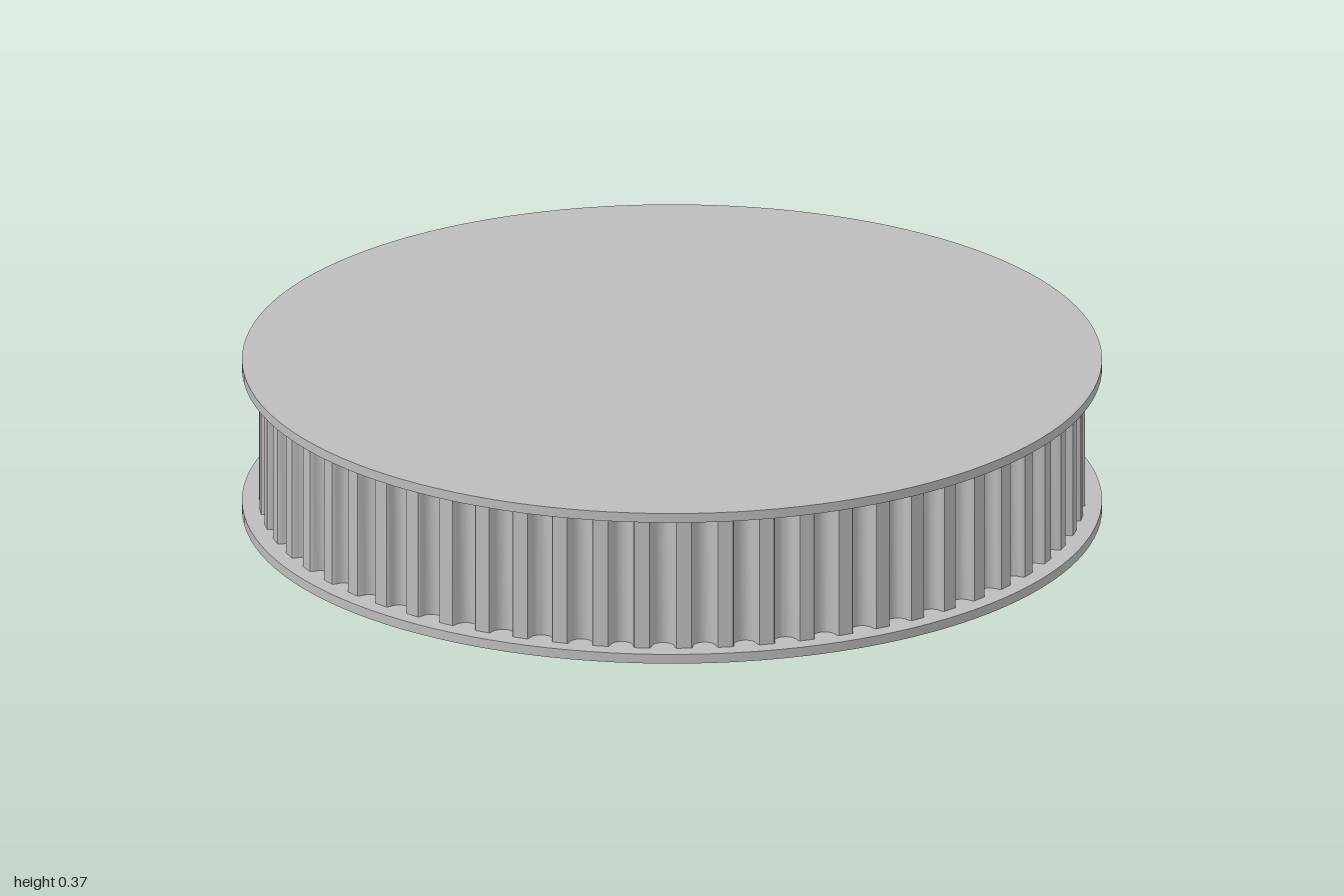
import * as THREE from 'three';
import { toCreasedNormals } from 'three/addons/utils/BufferGeometryUtils.js';

const HEIGHT = 0.374, FLANGE = 0.023, RADIUS = 0.96, TEETH = 62;

// Half-round groove section: [tangential offset, depth]
function grooveSection() {
  const r = 0.027, start = 0.01;
  const points = [[-0.031, 0], [-0.0285, 0.003]];
  for (let i = 0; i <= 10; i++) {
    const a = (i / 10) * Math.PI;
    points.push([-r * Math.cos(a), start + r * Math.sin(a)]);
  }
  points.push([0.0285, 0.003], [0.031, 0]);
  return points;
}

// Outline of the toothed ring, with one groove centred on the front
function toothedShape() {
  const section = grooveSection();
  const outline = [];
  for (let i = 0; i < TEETH; i++) {
    const a = Math.PI / 2 + (i / TEETH) * Math.PI * 2;
    const c = Math.cos(a), s = Math.sin(a);
    for (const [t, depth] of section) {
      const r = RADIUS - depth;
      outline.push(new THREE.Vector2(r * c - t * s, r * s + t * c));
    }
  }
  return new THREE.Shape(outline);
}

export function createModel() {
  const group = new THREE.Group();
  const metal = new THREE.MeshStandardMaterial({ color: 0xbcbcbc });
  metal.name = 'grey metal';

  // Toothed drum between the flanges
  let drum = new THREE.ExtrudeGeometry(toothedShape(), {
    depth: HEIGHT - 2 * FLANGE, bevelEnabled: false,
  });
  drum.rotateX(-Math.PI / 2);
  drum = toCreasedNormals(drum, 0.6);
  const teeth = new THREE.Mesh(drum, metal);
  teeth.name = 'toothedDrum';
  teeth.position.y = FLANGE;
  group.add(teeth);

  // Thin retaining discs
  const disc = new THREE.CylinderGeometry(1, 1, FLANGE, 128);
  for (const [name, y] of [['bottomFlange', FLANGE / 2], ['topFlange', HEIGHT - FLANGE / 2]]) {
    const flange = new THREE.Mesh(disc, metal);
    flange.name = name;
    flange.position.y = y;
    group.add(flange);
  }
  return group;
}
